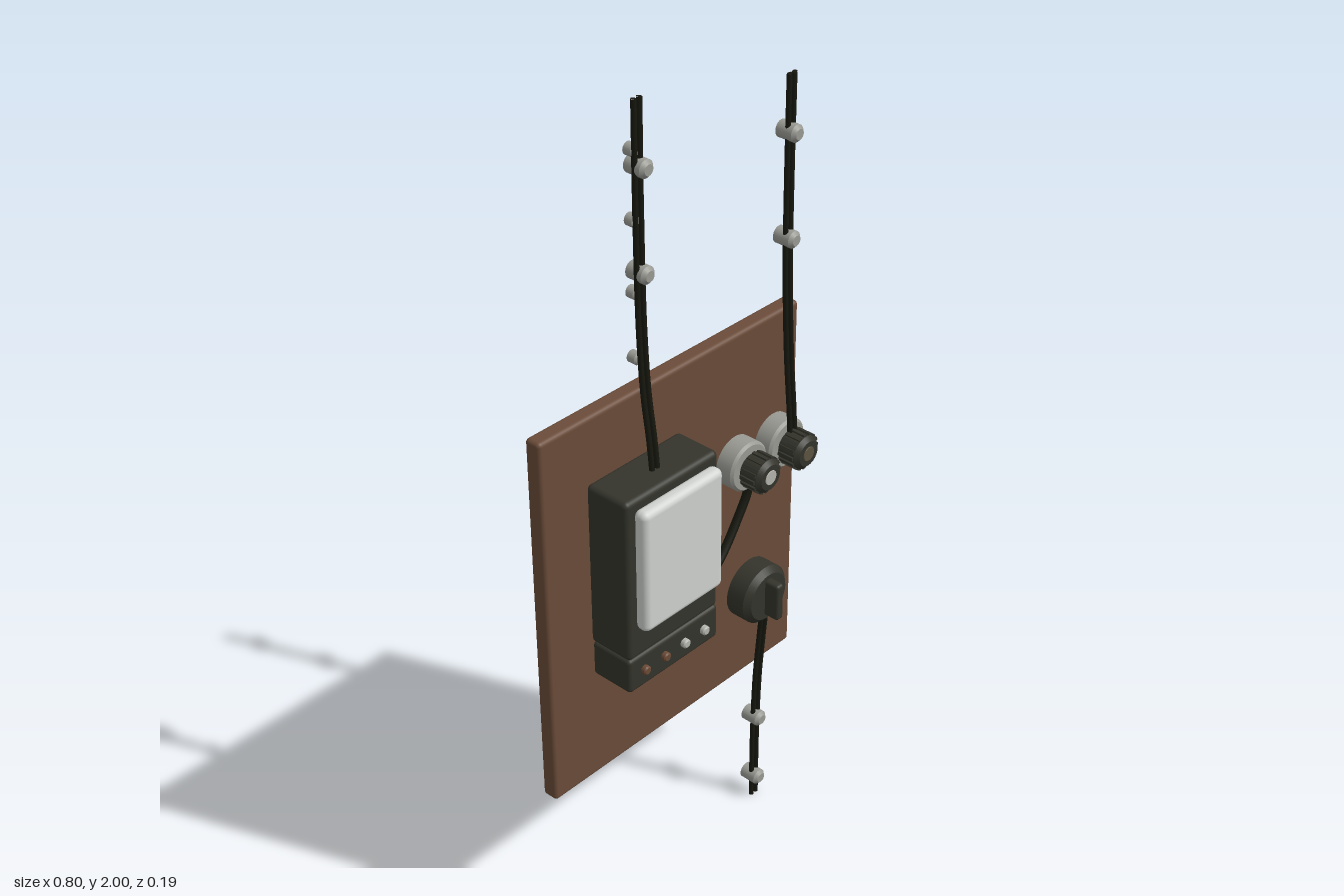
import * as THREE from 'three';
import { RoundedBoxGeometry } from 'three/addons/geometries/RoundedBoxGeometry.js';

const mat = (name, color) => {
  const m = new THREE.MeshStandardMaterial({ color });
  m.name = name;
  return m;
};

export function createModel() {
  const root = new THREE.Group();
  root.name = 'meterBoard';
  const wood = mat('brown wood', 0x6b4c39);
  const bakelite = mat('dark bakelite', 0x34342c);
  const rubber = mat('black rubber', 0x17170f);
  const glass = mat('pale glass', 0xd0d3d0);
  const ceramic = mat('grey ceramic', 0x9a9a94);
  const steel = mat('steel', 0xb5b5ae);
  const copper = mat('copper', 0x6b4a36);
  const brass = mat('dull brass', 0x5c5340);

  const add = (parent, name, geometry, material, x = 0, y = 0, z = 0) => {
    const m = new THREE.Mesh(geometry, material);
    m.name = name;
    m.position.set(x, y, z);
    parent.add(m);
    return m;
  };
  const group = (name, x = 0, y = 0) => {
    const g = new THREE.Group();
    g.name = name;
    g.position.set(x, y, 0);
    root.add(g);
    return g;
  };
  // Rounded box given by its limits on each axis
  const block = (parent, name, material, [x0, x1], [y0, y1], [z0, z1], r) =>
    add(parent, name, new RoundedBoxGeometry(x1 - x0, y1 - y0, z1 - z0, 4, r), material,
      (x0 + x1) / 2, (y0 + y1) / 2, (z0 + z1) / 2);
  // Disc facing +z with a chamfered front edge
  const disc = (parent, name, material, r, z0, z1, bevel = 0.004, x = 0, y = 0) => {
    const profile = [[0, z0], [r, z0], [r, z0], [r, z1 - bevel], [r, z1 - bevel],
      [r - bevel, z1], [r - bevel, z1], [0, z1]].map(p => new THREE.Vector2(...p));
    const g = new THREE.LatheGeometry(profile, 32).rotateX(Math.PI / 2);
    return add(parent, name, g, material, x, y, 0);
  };
  const tube = (parent, name, points, r) => {
    const curve = new THREE.CatmullRomCurve3(points.map(p => new THREE.Vector3(...p)));
    add(parent, name, new THREE.TubeGeometry(curve, 32, r, 10), rubber);
    // Flat ends
    [0, 1].forEach(t => {
      const cap = add(parent, name + 'End', new THREE.CircleGeometry(r, 10), rubber);
      const p = curve.getPoint(t);
      cap.position.copy(p);
      cap.lookAt(p.clone().addScaledVector(curve.getTangent(t), t ? 1 : -1));
    });
  };

  // Backboard
  block(root, 'backboard', wood, [-0.4, 0.4], [0.385, 1.335], [-0.097, -0.055], 0.01);

  // Electricity meter
  const meter = group('meter');
  block(meter, 'meterBody', bakelite, [-0.276, 0.007], [0.77, 1.18], [-0.055, 0.062], 0.013);
  block(meter, 'terminalCover', bakelite, [-0.276, 0.007], [0.683, 0.772], [-0.05, 0.062], 0.01);
  block(meter, 'meterWindow', glass, [-0.257, -0.013], [0.853, 1.16], [0.06, 0.097], 0.016);
  [-0.23, -0.167, -0.104, -0.041].forEach((x, i) =>
    disc(meter, 'terminalScrew', i < 2 ? copper : steel, 0.011, 0.055, 0.074, 0.003, x, 0.729));

  // Screw-in fuses with ribbed caps
  [[0.19, steel], [0.32, brass]].forEach(([x, tip]) => {
    const fuse = group('fuse', x, 1.015);
    disc(fuse, 'fuseBase', ceramic, 0.061, -0.056, -0.008, 0.006);
    disc(fuse, 'fuseNeck', bakelite, 0.034, -0.01, 0.006, 0.001);
    disc(fuse, 'fuseCap', bakelite, 0.041, -0.002, 0.053, 0.01);
    for (let i = 0; i < 16; i++) {
      const a = i * Math.PI / 8;
      const rib = add(fuse, 'capRib', new THREE.BoxGeometry(0.008, 0.009, 0.042), bakelite,
        0.041 * Math.cos(a), 0.041 * Math.sin(a), 0.021);
      rib.rotation.z = a;
    }
    disc(fuse, 'fuseIndicator', tip, 0.018, 0.05, 0.0545, 0.001);
  });

  // Rotary switch
  const rotary = group('rotarySwitch', 0.245, 0.633);
  disc(rotary, 'switchBase', bakelite, 0.075, -0.056, 0.008, 0.014);
  block(rotary, 'switchHandle', bakelite, [-0.012, 0.012], [-0.05, 0.05], [0, 0.046], 0.008);

  // Twin cable runs
  const twin = (name, x, points) => {
    const g = group(name, x);
    [-0.0078, 0.0078].forEach(dx => tube(g, 'cable', points.map(([y, z]) => [dx, y, z]), 0.0062));
  };
  twin('meterCables', -0.135,
    [[2, -0.026], [1.75, -0.026], [1.5, -0.022], [1.35, -0.012], [1.25, 0.002], [1.15, 0.012]]);
  twin('fuseCables', 0.32,
    [[1.905, -0.026], [1.7, -0.026], [1.45, -0.023], [1.25, -0.013], [1.1, 0], [1.03, 0.004]]);
  twin('switchCables', 0.245,
    [[0, -0.026], [0.2, -0.026], [0.38, -0.021], [0.5, -0.012], [0.58, -0.005]]);
  tube(root, 'linkCable', [[-0.02, 0.75, -0.004], [0.03, 0.768, -0.005], [0.1, 0.82, -0.01],
    [0.16, 0.895, -0.014], [0.19, 0.95, -0.014], [0.192, 1, -0.012]], 0.0105);

  // Wall clips
  [[-0.128, 1.855], [-0.128, 1.625], [0.322, 1.775], [0.322, 1.53], [0.245, 0.25], [0.245, 0.06]]
    .forEach(([x, y]) => disc(root, 'cableClip', ceramic, 0.02, -0.052, -0.002, 0.008, x, y));
  // Small wall studs behind the meter cables
  [1.89, 1.74, 1.58, 1.43].forEach(y =>
    disc(root, 'wallStud', ceramic, 0.014, -0.05, -0.026, 0.004, -0.137, y));

  return root;
}
